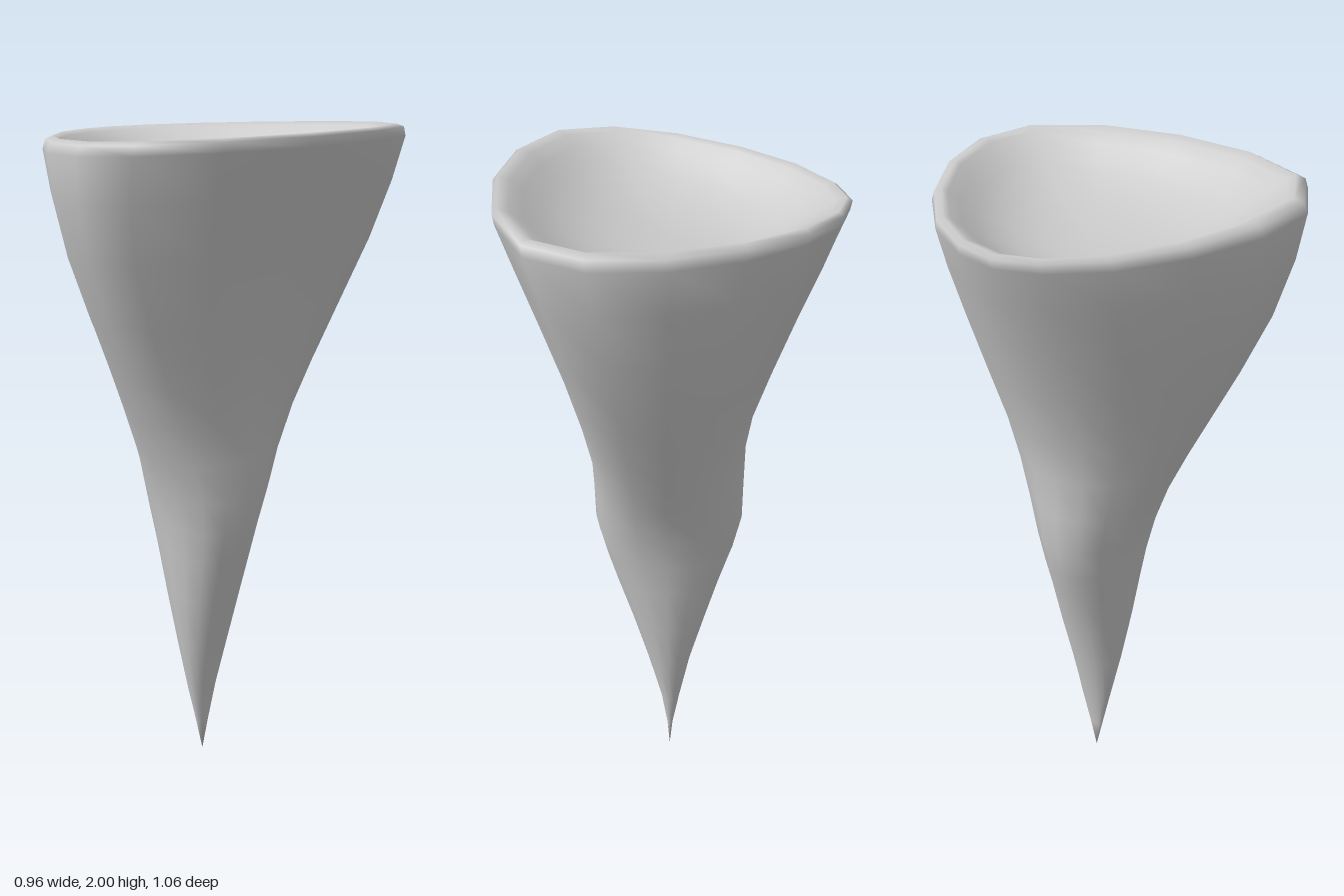
import * as THREE from 'three';

const SIDES = 16;
// Half outline of the rim as a share of the half depth, from +x round to -x
const RIM = [0, 0.49, 0.87, 1, 0.94, 0.755, 0.51, 0.236, 0];

// Outer rings: height, left x, right x, half depth, tilt (0..1), rim shape (0..1)
const RINGS = [
  [0.10, 0.000, 0.018, 0.022, 0, 0],
  [0.23, -0.024, 0.038, 0.050, 0, 0],
  [0.40, -0.060, 0.081, 0.083, 0, 0],
  [0.57, -0.108, 0.130, 0.110, 0, 0],
  [0.72, -0.153, 0.178, 0.128, 0, 0.05],
  [0.82, -0.186, 0.208, 0.142, 0, 0.1],
  [0.93, -0.212, 0.235, 0.165, 0, 0.2],
  [1.05, -0.214, 0.238, 0.207, 0, 0.3],
  [1.18, -0.217, 0.245, 0.265, 0, 0.45],
  [1.31, -0.240, 0.270, 0.325, 0, 0.6],
  [1.48, -0.300, 0.313, 0.402, 0.1, 0.8],
  [1.66, -0.368, 0.370, 0.474, 0.4, 0.95],
  [1.82, -0.431, 0.428, 0.516, 0.8, 1],
  [1.94, -0.475, 0.473, 0.531, 1, 1],
  [1.966, -0.480, 0.479, 0.517, 1, 1], // rim
  [1.975, -0.465, 0.467, 0.490, 1, 1], // top of the lip
];

// Hollow dish inside the lip: share of the rim, height
const DISH = [
  [0.91, 1.965], [0.84, 1.942], [0.75, 1.912], [0.64, 1.882],
  [0.5, 1.856], [0.34, 1.84], [0.17, 1.833],
];
const DISH_FLOOR = 1.83;

function createSurface() {
  const pos = [0.01, 0, 0];
  const index = [];

  const addRing = ([y, left, right, depth, tilt, shape]) => {
    const mid = (left + right) / 2, half = (right - left) / 2;
    for (let k = 0; k < SIDES; k++) {
      const a = (k / SIDES) * Math.PI * 2;
      const c = Math.cos(a), s = Math.abs(Math.sin(a));
      const share = THREE.MathUtils.lerp(s, RIM[k <= 8 ? k : SIDES - k], shape);
      // Slightly fuller corners than a plain oval
      const x = mid + half * c * (1 + 0.07 * s * s);
      pos.push(x, y + tilt * 0.052 * x, depth * share * (k <= 8 ? 1 : -1));
    }
  };

  RINGS.forEach(addRing);
  DISH.forEach(([r, y]) => addRing([y, -0.48 * r, 0.479 * r, 0.52 * r, 1, 1]));
  pos.push(0, DISH_FLOOR, 0);

  // Skin: point, bands between rings, dish centre
  const count = RINGS.length + DISH.length;
  const end = 1 + count * SIDES;
  for (let k = 0; k < SIDES; k++) {
    const n = (k + 1) % SIDES;
    index.push(0, 1 + k, 1 + n);
    for (let j = 0; j < count - 1; j++) {
      const a = 1 + j * SIDES, b = a + SIDES;
      index.push(a + k, b + k, b + n, a + k, b + n, a + n);
    }
    index.push(end - SIDES + k, end, end - SIDES + n);
  }

  const geometry = new THREE.BufferGeometry();
  geometry.setAttribute('position', new THREE.Float32BufferAttribute(pos, 3));
  geometry.setIndex(index);
  geometry.computeVertexNormals();
  return geometry;
}

export function createModel() {
  const group = new THREE.Group();
  group.name = 'hollowSpike';
  const body = new THREE.Mesh(
    createSurface(),
    new THREE.MeshStandardMaterial({ color: 0xcccccc })
  );
  body.name = 'spikeBody';
  group.add(body);
  return group;
}
